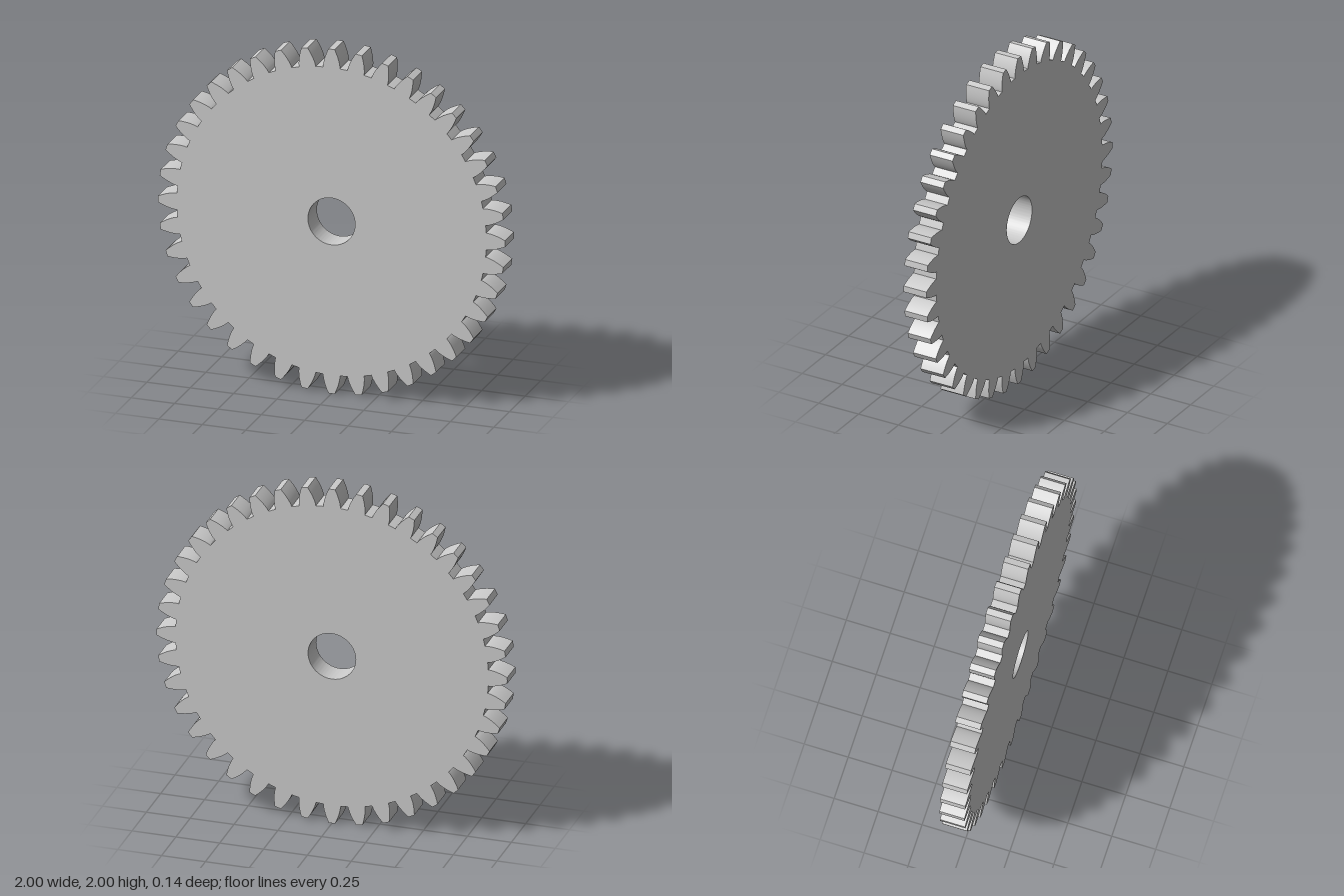
import * as THREE from 'three';
import { toCreasedNormals } from 'three/addons/utils/BufferGeometryUtils.js';

const TEETH = 40;
const MODULE = 2 / (TEETH + 2);
const TIP_R = 1;
const PITCH_R = MODULE * TEETH / 2;
const ROOT_R = PITCH_R - 1.25 * MODULE;
const PRESSURE = THREE.MathUtils.degToRad(20);
const BASE_R = PITCH_R * Math.cos(PRESSURE);
const BORE_R = 0.136;
const THICKNESS = 3 * MODULE;
const FLANK_STEPS = 8;

// Half the angle a tooth spans at radius r, along an involute flank
function halfAngle(r) {
  const involute = (a) => Math.tan(a) - a;
  const a = Math.acos(Math.min(1, BASE_R / r));
  return Math.PI / (2 * TEETH) + involute(PRESSURE) - involute(a);
}

// Outline of all teeth, counter-clockwise, with the first tooth at the top
function gearOutline() {
  const points = [];
  const add = (r, a) => points.push(new THREE.Vector2(r * Math.cos(a), r * Math.sin(a)));
  const flank = [[ROOT_R, halfAngle(BASE_R)]];
  for (let i = 0; i <= FLANK_STEPS; i++) {
    const r = THREE.MathUtils.lerp(BASE_R, TIP_R, (i / FLANK_STEPS) ** 1.5);
    flank.push([r, halfAngle(r)]);
  }
  for (let t = 0; t < TEETH; t++) {
    const centre = Math.PI / 2 + t * 2 * Math.PI / TEETH;
    flank.forEach(([r, a]) => add(r, centre - a));
    add(TIP_R, centre);
    [...flank].reverse().forEach(([r, a]) => add(r, centre + a));
    add(ROOT_R, centre + Math.PI / TEETH);
  }
  return points;
}

export function createModel() {
  const group = new THREE.Group();
  group.name = 'spurGear';

  // Toothed disc with a round shaft bore
  const shape = new THREE.Shape(gearOutline());
  const bore = new THREE.Path();
  bore.absarc(0, 0, BORE_R, 0, 2 * Math.PI, true);
  shape.holes.push(bore);

  const geometry = new THREE.ExtrudeGeometry(shape, {
    depth: THICKNESS, bevelEnabled: false, curveSegments: 64,
  });
  geometry.translate(0, TIP_R, -THICKNESS / 2);

  const gear = new THREE.Mesh(
    toCreasedNormals(geometry, THREE.MathUtils.degToRad(25)),
    new THREE.MeshStandardMaterial({ color: 0xcccccc }),
  );
  gear.name = 'toothedDisc';
  group.add(gear);
  return group;
}
